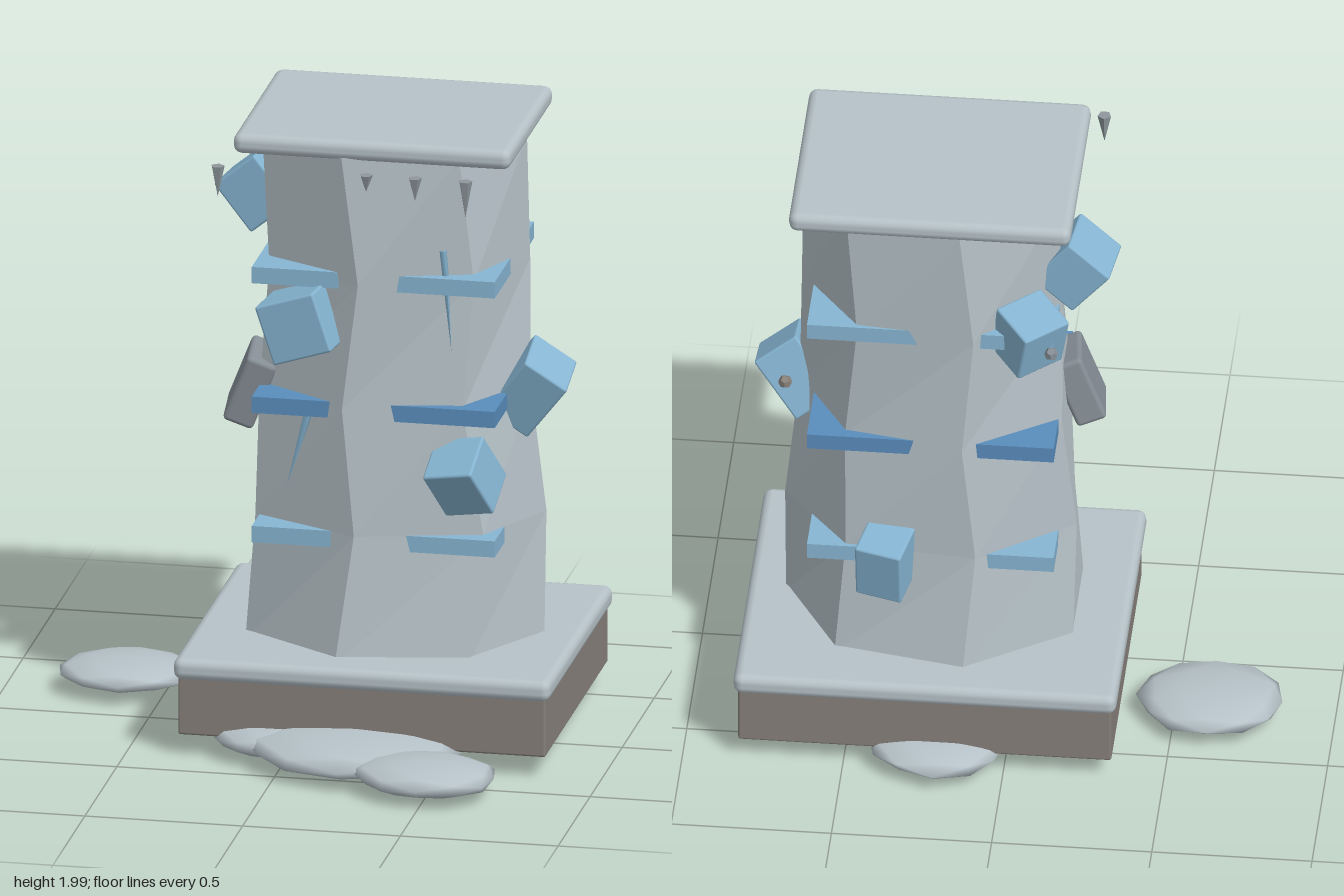
import * as THREE from 'three';
import { mergeVertices } from 'three/addons/utils/BufferGeometryUtils.js';
import { RoundedBoxGeometry } from 'three/addons/geometries/RoundedBoxGeometry.js';

const CX = 0.245, CZ = -0.141;

function material(name, color, extra = {}) {
  const m = new THREE.MeshStandardMaterial({ color, ...extra });
  m.name = name;
  return m;
}

// Seven-sided shaft: rings of [y, centre x, radius x, radius z, twist in degrees]
function shaftGeometry(rings, sides = 7) {
  const point = (i, j) => {
    const [y, cx, rx, rz, twist] = rings[j];
    const a = (i / sides) * Math.PI * 2 + THREE.MathUtils.degToRad(twist);
    return [cx + rx * Math.cos(a), y, CZ + rz * Math.sin(a)];
  };
  const pos = [];
  for (let j = 0; j < rings.length - 1; j++) {
    for (let i = 0; i < sides; i++) {
      const a = point(i + 1, j), b = point(i, j), c = point(i, j + 1), d = point(i + 1, j + 1);
      pos.push(...a, ...b, ...c, ...a, ...c, ...d);
    }
  }
  const g = new THREE.BufferGeometry();
  g.setAttribute('position', new THREE.Float32BufferAttribute(pos, 3));
  g.computeVertexNormals();
  return g;
}

// Flattened, slightly irregular smooth boulder
function boulderGeometry(rx, ry, rz, seed) {
  let g = new THREE.IcosahedronGeometry(1, 1);
  g.deleteAttribute('normal');
  g.deleteAttribute('uv');
  g = mergeVertices(g, 1e-3);
  const p = g.attributes.position;
  for (let i = 0; i < p.count; i++) {
    const k = 1 + 0.06 * Math.sin(i * 12.9 + seed * 7.3);
    p.setXYZ(i, p.getX(i) * rx * k, p.getY(i) * ry, p.getZ(i) * rz * k);
  }
  g.computeVertexNormals();
  return g;
}

export function createModel() {
  const model = new THREE.Group();
  const stone = material('pale stone', 0xb6c2c8);
  const earth = material('brown stone', 0x87807a);
  const ice = material('ice blue', 0x86b5d2);
  const deepIce = material('deep blue', 0x5a8dbc);
  const slate = material('slate grey', 0x868e96);
  const facet = material('icicle grey', 0x8f989d, { flatShading: true });

  const add = (name, geometry, mat, pos = [0, 0, 0], rot = [0, 0, 0]) => {
    const m = new THREE.Mesh(geometry, mat);
    m.name = name;
    m.position.set(...pos);
    m.rotation.set(...rot);
    model.add(m);
    return m;
  };
  const block = (w, h, d, r = 0.008) => new RoundedBoxGeometry(w, h, d, 2, r);

  // Plinth, ledge and capstone
  add('plinth', block(1.165, 0.19, 0.98), earth, [CX, 0.17, CZ]);
  add('ledge', block(1.195, 0.07, 1.01, 0.028), stone, [CX, 0.29, CZ]);
  add('capstone', block(0.88, 0.066, 0.69, 0.028), stone, [CX, 1.967, CZ]);

  // Twisting shaft
  add('shaft', shaftGeometry([
    [0.3, 0.245, 0.48, 0.395, 0],
    [0.71, 0.252, 0.475, 0.35, -5.5],
    [1.12, 0.245, 0.437, 0.345, -0.5],
    [1.53, 0.25, 0.425, 0.345, -6.5],
    [1.945, 0.245, 0.425, 0.35, 0],
  ]), stone);

  // Square bands whose corners break through the shaft
  [[0.685, ice], [1.108, deepIce], [1.532, ice]].forEach(([y, mat]) =>
    add('band', new THREE.BoxGeometry(0.77, 0.053, 0.617), mat, [CX, y, CZ]));

  // Tilted blocks lodged in the shaft: size, position, rotation
  [
    [[0.17, 0.19, 0.18], [-0.19, 1.695, -0.225], [0, -0.12, 0.69]],
    [[0.17, 0.18, 0.16], [-0.06, 1.54, -0.405], [-0.35, 0.7, 0.2]],
    [[0.16, 0.23, 0.17], [0.69, 1.135, -0.11], [0.27, 0, -0.64]],
    [[0.2, 0.195, 0.18], [0.018, 1.39, 0.165], [0, -0.12, 0.33]],
    [[0.17, 0.19, 0.16], [0.53, 0.91, 0.143], [0.6, -0.1, 0.3]],
    [[0.15, 0.2, 0.16], [0.38, 0.695, -0.48], [-0.18, -0.24, 0]],
  ].forEach(([size, pos, rot]) => add('iceBlock', block(...size), ice, pos, rot));
  add('slateBlock', block(0.1, 0.23, 0.19, 0.015), slate, [-0.18, 1.112, -0.045], [0.1, 0.1, -0.38]);

  // Hanging icicles: x, length
  [[-0.23, 0.1], [0.24, 0.055], [0.395, 0.075], [0.555, 0.12]].forEach(([x, len]) =>
    add('icicle', new THREE.ConeGeometry(0.022, len, 5), facet, [x, 1.912 - len / 2, 0.255], [Math.PI, 0, 0]));

  // Slim frozen drips on the front faces
  add('drip', new THREE.ConeGeometry(0.014, 0.33, 5), ice, [0.472, 1.475, 0.13], [Math.PI, 0, -0.08]);
  add('drip', new THREE.ConeGeometry(0.014, 0.25, 5), ice, [-0.002, 0.96, 0.135], [Math.PI, 0, 0.27]);

  // Small pegs
  add('peg', new THREE.DodecahedronGeometry(0.022), earth, [0.72, 1.165, -0.222]);
  add('peg', new THREE.DodecahedronGeometry(0.022), slate, [-0.135, 1.52, -0.475]);

  // Boulders around the foot: radii, position
  [
    [[0.225, 0.047, 0.185], [-0.615, 0.072, -0.27]],
    [[0.34, 0.062, 0.28], [0.22, 0.07, 0.33]],
    [[0.23, 0.053, 0.18], [0.49, 0.068, 0.565]],
    [[0.2, 0.05, 0.16], [-0.04, 0.07, 0.3]],
    [[0.22, 0.05, 0.2], [0.21, 0.067, -0.55]],
  ].forEach(([r, pos], i) => add('boulder', boulderGeometry(...r, i + 1), stone, pos));

  return model;
}
